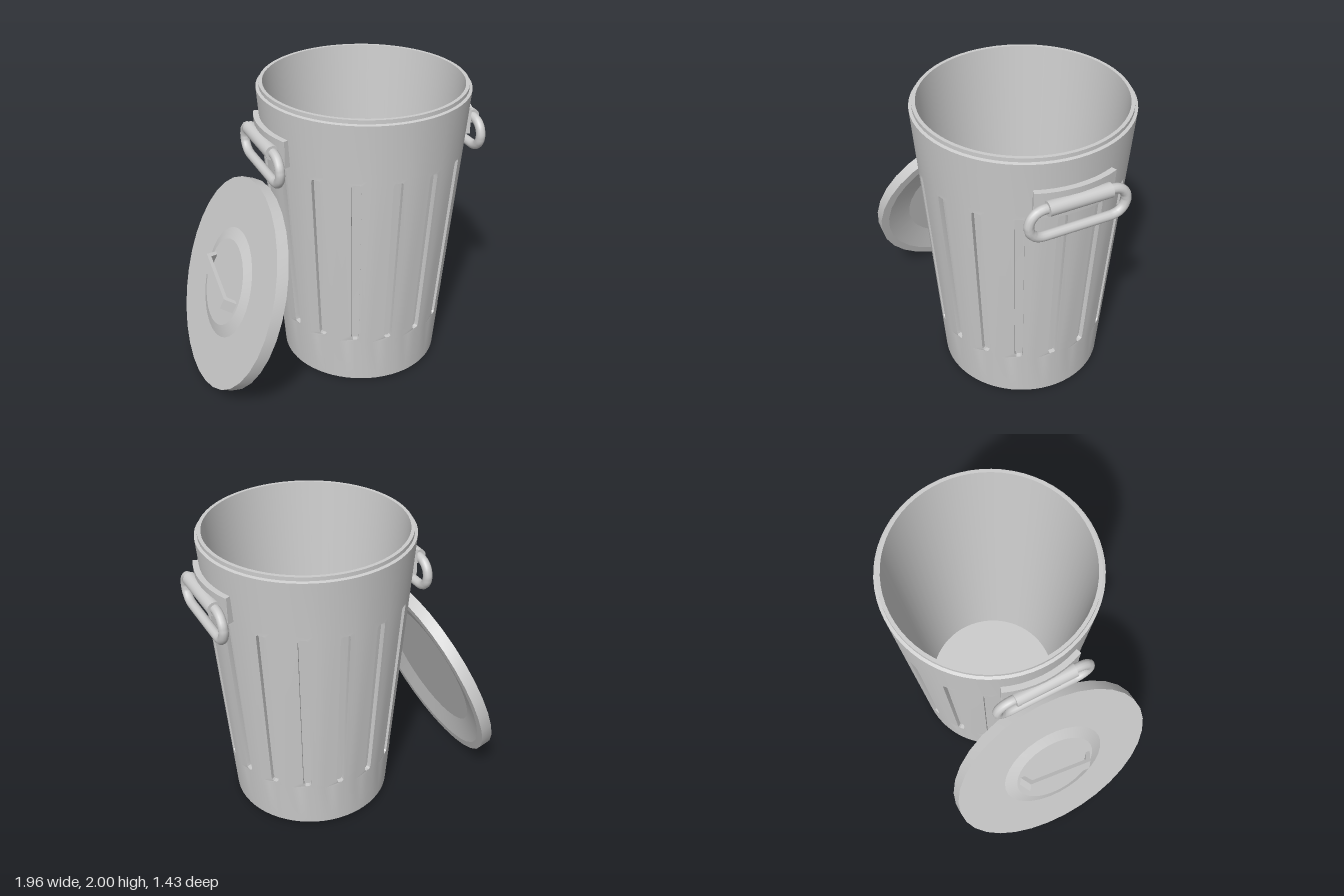
import * as THREE from 'three';
import { mergeGeometries, toCreasedNormals } from 'three/addons/utils/BufferGeometryUtils.js';

const SLOTS = 16, STEP = (Math.PI * 2) / SLOTS, OFFSET = -0.107;
const LOW = 0.34, HIGH = 1.6, DEPTH = 0.03;
const material = new THREE.MeshStandardMaterial({ color: 0xcccccc });
const radiusAt = (y) => 0.535 + 0.078 * (y - 0.02);
const v2 = ([x, y]) => new THREE.Vector2(x, y);

function mesh(name, geometry) {
  const m = new THREE.Mesh(geometry, material);
  m.name = name;
  return m;
}

function lathe(profile, segments, start = 0, length = Math.PI * 2) {
  return new THREE.LatheGeometry(profile.map(v2), segments, start, length);
}

// Wraps a flat (angle, height) geometry onto the tapered wall
function wrap(geometry, angle, inset) {
  const p = geometry.attributes.position;
  for (let i = 0; i < p.count; i++) {
    const a = p.getX(i) + angle, y = p.getY(i), r = radiusAt(y) - inset - p.getZ(i);
    p.setXYZ(i, Math.sin(a) * r, y, Math.cos(a) * r);
  }
  return geometry;
}

// Slot outline with softened ends, counter-clockwise in (angle, height)
function slotOutline() {
  const w = 0.048, b = 0.37, t = 1.57;
  return [
    [-w * 0.5, b], [w * 0.5, b], [w * 0.85, b + 0.01], [w, b + 0.035],
    [w, t - 0.025], [w * 0.9, t - 0.006], [w * 0.65, t],
    [-w * 0.65, t], [-w * 0.9, t - 0.006], [-w, t - 0.025],
    [-w, b + 0.035], [-w * 0.85, b + 0.01],
  ].map(v2);
}

// Side walls of one slot; z holds the distance into the wall
function slotWalls(outline) {
  const pos = [];
  outline.forEach((a, i) => {
    const b = outline[(i + 1) % outline.length];
    pos.push(a.x, a.y, 0, b.x, b.y, 0, b.x, b.y, DEPTH);
    pos.push(a.x, a.y, 0, b.x, b.y, DEPTH, a.x, a.y, DEPTH);
  });
  const g = new THREE.BufferGeometry();
  g.setAttribute('position', new THREE.Float32BufferAttribute(pos, 3));
  return g;
}

function canBody() {
  const outline = slotOutline();
  const across = [-0.5, -0.25, 0, 0.25, 0.5].map((k) => k * STEP);
  const panel = new THREE.Shape([
    ...across.map((x) => v2([x, LOW])),
    ...across.slice().reverse().map((x) => v2([x, HIGH])),
  ]);
  panel.holes.push(new THREE.Path(outline));
  const parts = [];
  // Slotted middle band
  for (let i = 0; i < SLOTS; i++) {
    const a = OFFSET + i * STEP;
    parts.push(
      wrap(new THREE.ShapeGeometry(panel), a, 0),
      wrap(new THREE.ShapeGeometry(new THREE.Shape(outline)), a, DEPTH),
      wrap(slotWalls(outline), a, 0),
    );
  }
  // Base below the slots
  parts.push(lathe([[0, 0.02], [0.535, 0.02], [radiusAt(LOW), LOW]], 64, OFFSET));
  // Upper band, stepped rim, inner wall and floor
  parts.push(lathe([
    [radiusAt(HIGH), HIGH], [radiusAt(1.97), 1.97], [0.668, 1.975],
    [0.668, 2], [0.645, 2], [0.465, 0.06], [0, 0.06],
  ], 64, OFFSET));
  const plain = parts.map((g) => {
    const n = g.index ? g.toNonIndexed() : g;
    n.deleteAttribute('uv');
    n.deleteAttribute('normal');
    return n;
  });
  return toCreasedNormals(mergeGeometries(plain), 0.5);
}

// Stadium-shaped loop in the y-z plane
function ringPath() {
  const r = 0.095, half = 0.225, pts = [];
  for (const side of [1, -1]) {
    for (let i = 0; i <= 8; i++) {
      const a = (i / 8) * Math.PI;
      pts.push(new THREE.Vector3(0, side * Math.cos(a) * r, side * (half + Math.sin(a) * r)));
    }
  }
  const path = new THREE.CurvePath();
  pts.forEach((p, i) => path.add(new THREE.LineCurve3(p, pts[(i + 1) % pts.length])));
  const even = path.getSpacedPoints(72).slice(0, -1);
  return new THREE.CatmullRomCurve3(even, true);
}

function sideHandle(name) {
  const g = new THREE.Group();
  g.name = name;
  // Curved mounting plate hugging the wall
  const arc = 0.385;
  const profile = [[0.66, 1.61], [0.7, 1.61], [0.71, 1.79], [0.66, 1.79], [0.66, 1.61]];
  g.add(mesh('handlePlate', toCreasedNormals(lathe(profile, 8, Math.PI / 2 - arc, arc * 2), 0.5)));
  for (const s of [-1, 1]) {
    const end = mesh('handlePlateEnd', new THREE.BoxGeometry(0.045, 0.18, 0.004));
    end.position.set(Math.cos(arc) * 0.681, 1.7, s * Math.sin(arc) * 0.681);
    end.rotation.y = -s * arc;
    g.add(end);
  }
  // Hinge barrel
  const barrel = mesh('handleBarrel', new THREE.CylinderGeometry(0.047, 0.047, 0.41, 20));
  barrel.rotation.x = Math.PI / 2;
  barrel.position.set(0.705, 1.7, 0);
  g.add(barrel);
  // Hanging grip ring
  const ring = mesh('handleRing', new THREE.TubeGeometry(ringPath(), 96, 0.031, 12, true));
  ring.position.set(0.702, 1.605, 0);
  g.add(ring);
  return g;
}

function buildLid() {
  const lid = new THREE.Group();
  lid.name = 'lid';
  // Disc with a recessed underside and a raised centre
  lid.add(mesh('lidDisc', toCreasedNormals(lathe([
    [0, 0.005], [0.48, 0.005], [0.655, -0.04], [0.713, -0.04],
    [0.713, 0.04], [0.37, 0.04], [0.29, 0.066], [0, 0.066],
  ], 32), 0.25)));
  // Strap handle with splayed legs
  const strap = new THREE.Shape([
    [-0.285, 0.03], [-0.255, 0.03], [-0.205, 0.118], [0.205, 0.118], [0.255, 0.03],
    [0.285, 0.03], [0.228, 0.145], [-0.228, 0.145],
  ].map(v2));
  const geo = new THREE.ExtrudeGeometry(strap, { depth: 0.08, bevelEnabled: false });
  geo.translate(0, 0, -0.04);
  const handle = mesh('lidHandle', geo);
  handle.rotation.y = -Math.PI / 2 - 0.2;
  lid.add(handle);
  // Leaning against the can
  lid.rotation.z = 1.22;
  lid.position.set(-0.7, 0.685, 0);
  return lid;
}

export function createModel() {
  const model = new THREE.Group();
  model.name = 'trashCan';
  const can = new THREE.Group();
  can.name = 'can';
  can.position.set(0.23, 0, 0.03);
  can.add(mesh('canBody', canBody()));
  const left = sideHandle('leftHandle');
  const right = sideHandle('rightHandle');
  right.rotation.y = Math.PI;
  can.add(left, right);
  model.add(can, buildLid());
  return model;
}
